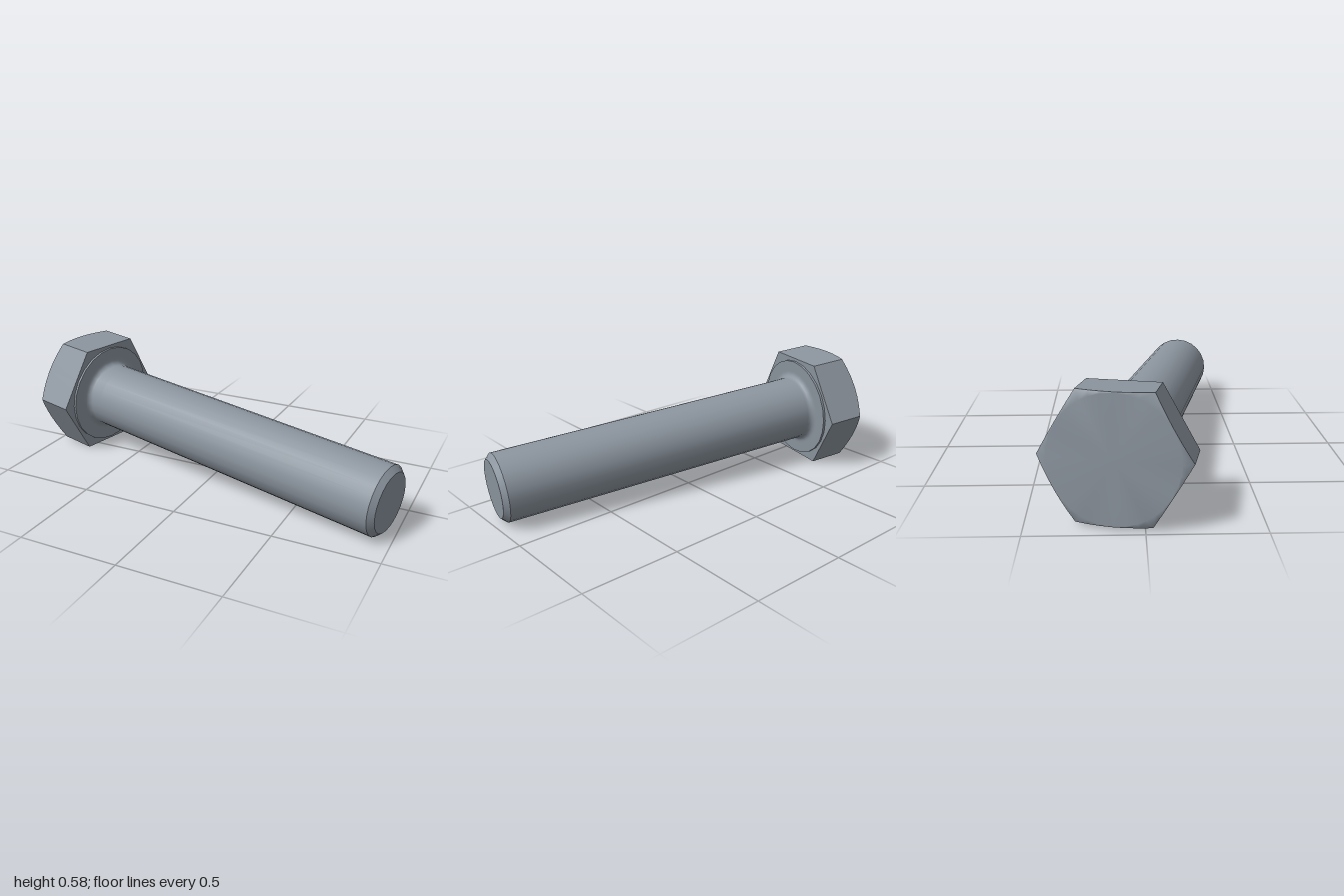
import * as THREE from 'three';

const SIDES = 24;          // round parts
const STEPS = 6;           // points along each hex flat
const CORNER = 0.325;      // hex corner radius
const APOTHEM = CORNER * Math.cos(Math.PI / 6);
const SHAFT = 0.171, LENGTH = 1.739, STEP = 0.012;

// depth of the conical rear chamfer at a given radius
const rearY = r => -(0.19 + (CORNER - r) * 0.577);

// points round the hexagon, corners on +z and -z, with several per flat
function hexOutline() {
  const pts = [];
  const corner = i => [CORNER * Math.sin(i * Math.PI / 3), CORNER * Math.cos(i * Math.PI / 3)];
  for (let i = 0; i < 6; i++) {
    const a = corner(i), b = corner(i + 1);
    for (let s = 0; s < STEPS; s++) {
      const t = s / STEPS;
      pts.push([a[0] + (b[0] - a[0]) * t, a[1] + (b[1] - a[1]) * t]);
    }
  }
  return pts;
}

function geometryFrom(positions, index) {
  const g = new THREE.BufferGeometry();
  g.setAttribute('position', new THREE.Float32BufferAttribute(positions, 3));
  if (index) g.setIndex(index);
  g.computeVertexNormals();
  return g;
}

// six flats with curved rear edges where the cone cuts them
function hexSides() {
  const pts = hexOutline(), pos = [];
  pts.forEach((p, i) => {
    const q = pts[(i + 1) % pts.length];
    const a = [p[0], 0, p[1]], b = [q[0], 0, q[1]];
    const c = [p[0], rearY(Math.hypot(...p)), p[1]];
    const d = [q[0], rearY(Math.hypot(...q)), q[1]];
    pos.push(...c, ...d, ...b, ...c, ...b, ...a);
  });
  return geometryFrom(pos);
}

// smooth rear face: centre fan, then the chamfer out to the hex edge
function hexRear() {
  const pts = hexOutline(), n = pts.length, index = [];
  const discR = APOTHEM - 0.004, discY = rearY(discR);
  const pos = [0, discY, 0];
  for (const [x, z] of pts) {
    const k = discR / Math.hypot(x, z);
    pos.push(x * k, discY, z * k);
  }
  for (const [x, z] of pts) pos.push(x, rearY(Math.hypot(x, z)), z);
  for (let i = 0; i < n; i++) {
    const j = (i + 1) % n;
    const a = 1 + i, b = 1 + j, c = a + n, d = b + n;
    index.push(0, b, a, a, b, d, a, d, c);
  }
  return geometryFrom(pos, index);
}

export function createModel() {
  const steel = new THREE.MeshStandardMaterial({ color: 0x8c959f });
  steel.name = 'steel grey';

  const bolt = new THREE.Group();
  bolt.name = 'hexBolt';
  const add = (name, geometry, parent = bolt) => {
    const mesh = new THREE.Mesh(geometry, steel);
    mesh.name = name;
    parent.add(mesh);
    return mesh;
  };
  const lathe = pts => new THREE.LatheGeometry(pts.map(p => new THREE.Vector2(...p)), SIDES);

  // head
  const head = new THREE.Group();
  head.name = 'head';
  bolt.add(head);
  add('headSides', hexSides(), head);
  add('headRear', hexRear(), head);
  add('headFront', new THREE.CircleGeometry(CORNER, 6, Math.PI / 2).rotateX(-Math.PI / 2), head);
  add('bearingStep', lathe([[0.266, 0], [0.266, STEP]]), head);

  // bearing face blending through a fillet into the shaft
  const fillet = 0.03, profile = [[0.266, STEP], [SHAFT + fillet + 0.01, STEP]];
  for (let i = 0; i <= 5; i++) {
    const t = i / 5 * Math.PI / 2;
    profile.push([SHAFT + fillet * (1 - Math.sin(t)), STEP + fillet * (1 - Math.cos(t))]);
  }
  const chamferStart = LENGTH - 0.026;
  profile.push([SHAFT, 0.1], [SHAFT, chamferStart]);
  add('shaft', lathe(profile));

  // chamfered tip
  add('tipChamfer', lathe([[SHAFT, chamferStart], [0.145, LENGTH]]));
  add('tipFace', new THREE.CircleGeometry(0.145, SIDES).rotateX(-Math.PI / 2).translate(0, LENGTH, 0));

  // lay the bolt down so that it rests on the ground
  const axis = new THREE.Vector3(0.976, -0.0634, 0.208).normalize();
  const side = new THREE.Vector3(-axis.z, 0, axis.x).normalize();
  const across = new THREE.Vector3().crossVectors(axis, side);
  bolt.quaternion.setFromRotationMatrix(new THREE.Matrix4().makeBasis(across, axis, side));
  bolt.position.set(-0.73, 0.282, -0.085);

  const model = new THREE.Group();
  model.name = 'model';
  model.add(bolt);
  return model;
}
